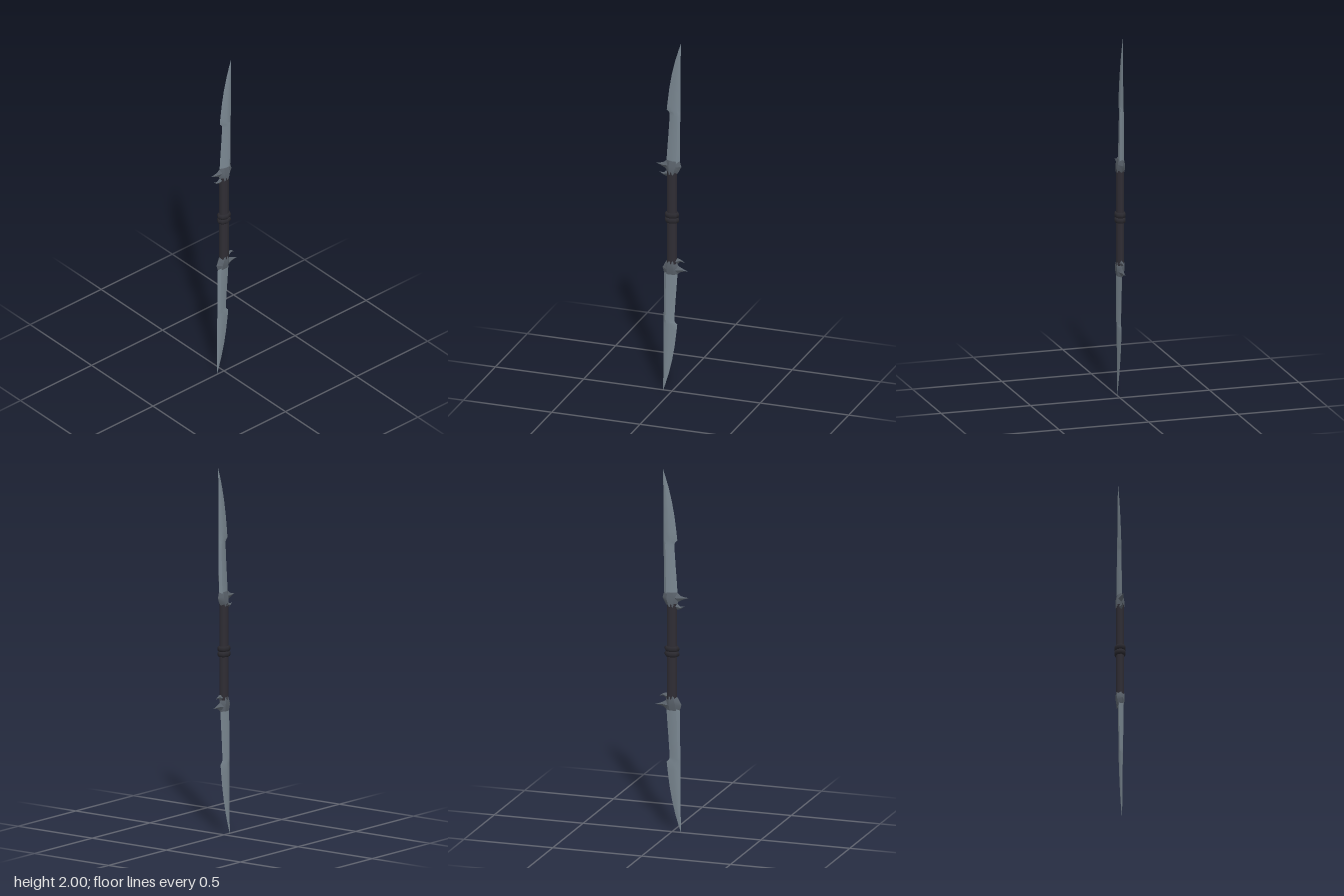
import * as THREE from 'three';
import { toCreasedNormals } from 'three/addons/utils/BufferGeometryUtils.js';

// Skin a row of equal-sized rings of [x, y, z] points, closing both ends
function loft(rings, crease) {
  const n = rings[0].length, index = [];
  const points = rings.flat();
  for (let r = 0; r < rings.length - 1; r++) {
    for (let i = 0; i < n; i++) {
      const a = r * n + i, b = r * n + (i + 1) % n;
      index.push(a, b, a + n, b, b + n, a + n);
    }
  }
  const last = (rings.length - 1) * n;
  for (let i = 1; i < n - 1; i++) {
    index.push(0, i + 1, i, last, last + i, last + i + 1);
  }
  // Turn the faces outward if the rings ran the other way
  const v = points.map((p) => new THREE.Vector3(...p));
  let volume = 0;
  for (let i = 0; i < index.length; i += 3) {
    volume += v[index[i]].dot(v[index[i + 1]].clone().cross(v[index[i + 2]]));
  }
  if (volume < 0) index.reverse();
  const g = new THREE.BufferGeometry();
  g.setAttribute('position', new THREE.Float32BufferAttribute(points.flat(), 3));
  g.setIndex(index);
  return toCreasedNormals(g, crease);
}

// Flat-sided ring across the blade: sharp at both edges, ridged between
function bladeRing([y, xl, xr, z]) {
  const w = xr - xl, m = xl + w * 0.48, r = xr - w * 0.2;
  return [[xl, y, 0], [m, y, z], [r, y, z * 0.9], [xr, y, 0], [r, y, -z * 0.9], [m, y, -z]];
}

// Diamond ring across a spike that runs along x
function spikeRing([x, yTop, yBottom, z]) {
  const m = (yTop + yBottom) / 2;
  return [[x, yTop, 0], [x, m, z], [x, yBottom, 0], [x, m, -z]];
}

export function createModel() {
  const steel = new THREE.MeshStandardMaterial({ color: 0x7a8791 });
  const guardSteel = new THREE.MeshStandardMaterial({ color: 0x5a626b });
  const grip = new THREE.MeshStandardMaterial({ color: 0x2f2d34 });
  const band = new THREE.MeshStandardMaterial({ color: 0x29282e });
  const model = new THREE.Group();

  function add(parent, name, geometry, material) {
    const mesh = new THREE.Mesh(geometry, material);
    mesh.name = name;
    parent.add(mesh);
    return mesh;
  }

  // Heights here are measured from the middle of the weapon
  function makeHalf(name) {
    const half = new THREE.Group();
    half.name = name;

    // Blade with a straight back and a notched, sweeping edge
    add(half, 'blade', loft([
      [0.30, -0.032, 0.043, 0.014],
      [0.36, -0.029, 0.045, 0.013],
      [0.48, -0.020, 0.046, 0.012],
      [0.585, -0.013, 0.047, 0.011],
      [0.60, -0.016, 0.047, 0.0105],
      [0.615, -0.030, 0.047, 0.010],
      [0.66, -0.025, 0.048, 0.009],
      [0.74, -0.015, 0.048, 0.0075],
      [0.82, -0.001, 0.049, 0.006],
      [0.90, 0.018, 0.049, 0.004],
      [0.96, 0.036, 0.050, 0.002],
      [1.00, 0.0495, 0.0505, 0.0003],
    ].map(bladeRing), 0.5), steel);

    // Slanted collar holding the blade
    const collar = [
      [0.247, -0.026, 0.026, 0.020, 0],
      [0.270, -0.034, 0.040, 0.022, -0.05],
      [0.297, -0.040, 0.053, 0.020, -0.05],
      [0.326, -0.032, 0.044, 0.015, 0],
    ].map(([y, xl, xr, z, slant]) => {
      const w = xr - xl, a = xl + w * 0.3, b = xr - w * 0.3;
      return [[xl, 0], [a, z], [b, z], [xr, 0], [b, -z], [a, -z]]
        .map(([x, d]) => [x, y + slant * x, d]);
    });
    add(half, 'guardCollar', loft(collar, 0.4), guardSteel);

    // Long spike and small hook on the edge side
    add(half, 'guardSpike', loft([
      [-0.010, 0.335, 0.262, 0.016],
      [-0.034, 0.322, 0.274, 0.012],
      [-0.050, 0.309, 0.284, 0.008],
      [-0.070, 0.304, 0.293, 0.004],
      [-0.092, 0.3015, 0.3005, 0.0004],
    ].map(spikeRing), 0.4), guardSteel);
    add(half, 'guardHook', loft([
      [-0.015, 0.272, 0.232, 0.012],
      [-0.032, 0.264, 0.233, 0.010],
      [-0.046, 0.252, 0.236, 0.006],
      [-0.058, 0.251, 0.243, 0.003],
      [-0.070, 0.2545, 0.2535, 0.0004],
    ].map(spikeRing), 0.4), guardSteel);
    half.position.y = 1;
    model.add(half);
    return half;
  }

  makeHalf('upperBlade');
  makeHalf('lowerBlade').rotation.z = Math.PI;

  // Eight-sided oval grip
  const handle = new THREE.CylinderGeometry(0.029, 0.029, 0.53, 8);
  handle.scale(1, 1, 0.76);
  add(model, 'grip', handle, grip).position.y = 1;

  // Pair of rounded bands around the middle
  for (const side of [-1, 1]) {
    const profile = [[0.026, -0.015], [0.036, -0.013], [0.041, -0.005],
      [0.041, 0.005], [0.036, 0.013], [0.026, 0.015]]
      .map(([r, y]) => new THREE.Vector2(r, y));
    const ring = new THREE.LatheGeometry(profile, 8);
    ring.scale(1, 1, 0.76);
    add(model, side > 0 ? 'upperBand' : 'lowerBand', ring, band).position.y = 1 + side * 0.0145;
  }
  return model;
}
